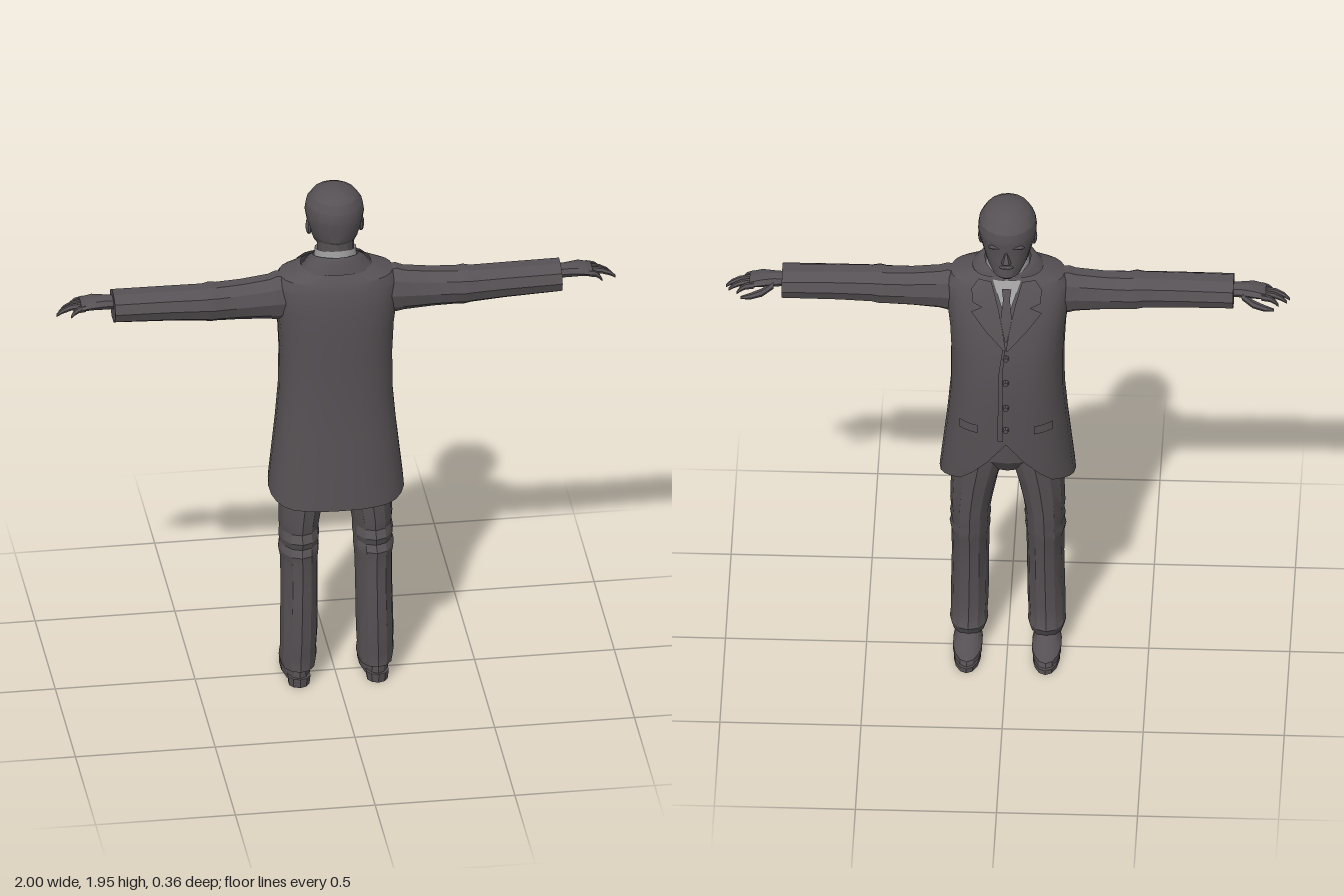
import * as THREE from 'three';
import { toCreasedNormals } from 'three/addons/utils/BufferGeometryUtils.js';

const mat = (name, color) => {
  const m = new THREE.MeshStandardMaterial({ color, side: THREE.DoubleSide });
  m.name = name;
  return m;
};
const cloth = mat('charcoal cloth', 0x565154);
const linen = mat('pale linen', 0xa3a2a2);

function mesh(name, geo, material = cloth) {
  const m = new THREE.Mesh(toCreasedNormals(geo, 0.45), material);
  m.name = name;
  return m;
}

// Surface through a grid of points, rows running bottom to top
function skin(rows, caps = false) {
  const n = rows[0].length, pos = rows.flat(2), idx = [];
  for (let i = 0; i < rows.length - 1; i++) for (let j = 0; j < n - 1; j++) {
    const a = i * n + j, b = a + n;
    idx.push(a, b, a + 1, a + 1, b, b + 1);
  }
  if (caps) for (let j = 1; j < n - 2; j++) {
    const t = (rows.length - 1) * n;
    idx.push(0, j, j + 1, t, t + j + 1, t + j);
  }
  const g = new THREE.BufferGeometry();
  g.setAttribute('position', new THREE.Float32BufferAttribute(pos, 3));
  g.setIndex(idx);
  return g;
}

// Elliptical sections [y, cx, cz, rx, rz], angle 0 pointing to -z
function loft(sections, n = 12, tilt = 0, caps = true) {
  return skin(sections.map(([y, cx, cz, rx, rz]) => Array.from({ length: n + 1 }, (_, j) => {
    const a = (j % n) / n * Math.PI * 2;
    return [cx + rx * Math.sin(a), y - tilt * Math.cos(a), cz - rz * Math.cos(a)];
  })), caps);
}

// Sections [x, y, z, ry, rz] running out along +x
function loftX(sections, n = 10) {
  return loft(sections.map(([x, y, z, ry, rz]) => [x, -y, z, ry, rz]), n).rotateZ(-Math.PI / 2);
}

// Coat body: [y, half width, front z, back z]
const coatProfile = [
  [0.74, 0.245, -0.13, 0.18], [0.85, 0.235, -0.15, 0.175], [1.0, 0.217, -0.163, 0.165],
  [1.15, 0.202, -0.17, 0.157], [1.3, 0.2, -0.17, 0.158], [1.42, 0.205, -0.155, 0.16],
  [1.52, 0.218, -0.125, 0.158], [1.6, 0.222, -0.095, 0.15], [1.635, 0.205, -0.08, 0.138],
  [1.665, 0.125, -0.065, 0.115],
];
function coatAt(y) {
  let i = 0;
  while (i < coatProfile.length - 2 && coatProfile[i + 1][0] < y) i++;
  const p = coatProfile[i], q = coatProfile[i + 1];
  const t = THREE.MathUtils.clamp((y - p[0]) / (q[0] - p[0]), 0, 1);
  return p.map((v, k) => v + (q[k] - v) * t);
}
const POW = 0.8, MID = 0.02;
function coatPoint(a, y) {
  const [, w, f, b] = coatAt(y), s = Math.sin(a), c = Math.cos(a);
  const bend = v => Math.sign(v) * Math.abs(v) ** POW;
  return [w * bend(s), y, MID - bend(c) * (c > 0 ? MID - f : b - MID)];
}
function frontZ(x, y) {
  const [, w, f] = coatAt(y), s = Math.min(1, Math.abs(x) / w) ** (1 / POW);
  return MID - (MID - f) * Math.sqrt(1 - s * s) ** POW;
}
// Cutaway hem: high at the front centre, lowest at the back
function hem(a) {
  const t = Math.acos(Math.cos(a)) / Math.PI;
  return t < 0.2 ? 1.0 - 0.18 * (t / 0.2) ** 0.7 : 0.82 - 0.08 * Math.min(1, (t - 0.2) / 0.55);
}

// Thin cloth lying on the coat front: rows of [y, inner x, outer x]
function patch(rows, lift) {
  return skin(rows.map(([y, a, b]) => Array.from({ length: 6 }, (_, j) => {
    const x = a + (b - a) * j / 5;
    return [x, y, frontZ(x, y) - lift];
  })));
}

function makeCoat() {
  const g = new THREE.Group();
  g.name = 'coat';
  const levels = [0, 0.03, ...coatProfile.slice(2).map(p => (p[0] - 0.74) / 0.925)];
  const n = 28;
  g.add(mesh('coatBody', skin(levels.map(v => Array.from({ length: n + 1 }, (_, j) => {
    const a = (j % n) / n * Math.PI * 2, h = hem(a);
    return coatPoint(a, h + (1.665 - h) * v);
  })))));
  // Standing collar, higher at the nape
  g.add(mesh('coatCollar', loft([
    [1.64, 0, 0.027, 0.14, 0.1], [1.665, 0, 0.024, 0.122, 0.095],
    [1.69, 0, 0.022, 0.1, 0.09], [1.7, 0, 0.02, 0.082, 0.085]], 16, 0.025, false)));
  // Shirt front and necktie
  g.add(mesh('shirtFront', patch([[1.53, -0.004, 0.004], [1.6, -0.028, 0.028], [1.66, -0.05, 0.05]], 0.006), linen));
  g.add(mesh('necktie', patch([[1.45, -0.004, 0.004], [1.53, -0.02, 0.02], [1.6, -0.012, 0.012],
    [1.635, -0.017, 0.017]], 0.012)));
  for (const s of [-1, 1]) {
    const m = rows => rows.map(([y, a, b]) => [y, a * s, b * s]);
    // Lapel with a notch below the collar leaf
    g.add(mesh('lapel', patch(m([[1.42, 0, 0.008], [1.49, 0.012, 0.075], [1.55, 0.024, 0.125], [1.57, 0.028, 0.09]]), 0.016)));
    g.add(mesh('collarLeaf', patch(m([[1.57, 0.028, 0.085], [1.585, 0.032, 0.12], [1.63, 0.045, 0.125], [1.66, 0.055, 0.1]]), 0.017)));
    g.add(mesh('pocketFlap', patch(m([[1.05, 0.1, 0.165], [1.085, 0.1, 0.165]]), 0.008)));
  }
  // Front closure edge and buttons
  g.add(mesh('frontEdge', patch([[1.02, 0.01, 0.03], [1.15, 0.012, 0.028], [1.3, 0.012, 0.028], [1.42, 0.004, 0.012]], 0.006)));
  for (const y of [1.07, 1.17, 1.28, 1.38]) {
    const b = mesh('button', new THREE.CylinderGeometry(0.009, 0.012, 0.014, 8).rotateX(-Math.PI / 2));
    b.position.set(0, y, frontZ(0, y) - 0.006);
    g.add(b);
  }
  return g;
}

function makeHead() {
  const g = new THREE.Group();
  g.name = 'head';
  g.add(mesh('skull', loft([
    [1.7, 0, -0.085, 0.03, 0.035], [1.715, 0, -0.07, 0.052, 0.066], [1.745, 0, -0.03, 0.074, 0.105],
    [1.78, 0, -0.016, 0.086, 0.115], [1.82, 0, -0.013, 0.098, 0.117], [1.86, 0, -0.013, 0.105, 0.123],
    [1.895, 0, -0.012, 0.1, 0.118], [1.925, 0, -0.008, 0.081, 0.097], [1.945, 0, -0.004, 0.05, 0.062],
    [1.954, 0, 0, 0.015, 0.02]], 18)));
  g.add(mesh('neck', loft([[1.6, 0, 0.02, 0.066, 0.07], [1.78, 0, 0.02, 0.066, 0.072]], 12)));
  g.add(mesh('shirtCollar', loft([[1.66, 0, 0.015, 0.08, 0.084], [1.722, 0, 0.013, 0.074, 0.081]], 16, 0.022, false), linen));
  // Nose, brow, lips and ears
  const nose = mesh('nose', new THREE.ConeGeometry(0.019, 0.05, 5));
  nose.position.set(0, 1.805, -0.132);
  nose.rotation.x = 0.2;
  g.add(nose);
  const blob = (name, x, y, z, sx, sy, sz) => {
    const b = mesh(name, new THREE.SphereGeometry(1, 10, 6));
    b.position.set(x, y, z);
    b.scale.set(sx, sy, sz);
    g.add(b);
  };
  blob('lips', 0, 1.758, -0.128, 0.026, 0.009, 0.012);
  for (const s of [-1, 1]) {
    blob('brow', s * 0.036, 1.838, -0.118, 0.03, 0.008, 0.011);
    blob('ear', s * 0.093, 1.805, 0.0, 0.012, 0.032, 0.02);
  }
  return g;
}

function makeArm() {
  const g = new THREE.Group();
  g.name = 'arm';
  g.add(mesh('sleeve', loftX([
    [0.16, 1.55, 0.03, 0.085, 0.07], [0.215, 1.552, 0.032, 0.091, 0.074], [0.24, 1.55, 0.034, 0.083, 0.07],
    [0.34, 1.548, 0.036, 0.073, 0.069], [0.43, 1.548, 0.039, 0.069, 0.072], [0.455, 1.55, 0.041, 0.071, 0.076],
    [0.48, 1.55, 0.042, 0.066, 0.071], [0.6, 1.554, 0.04, 0.062, 0.071], [0.8, 1.557, 0.036, 0.058, 0.073]], 10)));
  // Hand: palm, four bent fingers and a thumb
  g.add(mesh('palm', loftX([[0.78, 1.568, 0.03, 0.022, 0.032], [0.83, 1.57, 0.028, 0.024, 0.036],
    [0.87, 1.572, 0.026, 0.022, 0.046], [0.915, 1.565, 0.024, 0.016, 0.046]], 8)));
  [0.95, 1, 0.99, 0.96].forEach((tip, i) => {
    const z = 0.058 - i * 0.023, k = tip - 0.9;
    g.add(mesh('finger', loftX([[0.9, 1.566, z, 0.013, 0.012], [0.9 + k * 0.5, 1.56, z * 0.95, 0.012, 0.011],
      [0.9 + k * 0.8, 1.547, z * 0.9, 0.01, 0.01], [tip, 1.53, z * 0.86, 0.005, 0.006]], 6)));
  });
  g.add(mesh('thumb', loftX([[0.83, 1.562, 0.002, 0.016, 0.016], [0.87, 1.543, -0.022, 0.015, 0.015],
    [0.91, 1.532, -0.03, 0.012, 0.012], [0.945, 1.523, -0.028, 0.005, 0.006]], 6)));
  return g;
}

function makeLeg() {
  const g = new THREE.Group();
  g.name = 'leg';
  // Trouser leg with folds at the knee and ankle
  g.add(mesh('trouserLeg', loft([
    [0.065, 0.138, 0.045, 0.06, 0.078], [0.1, 0.138, 0.035, 0.068, 0.086], [0.13, 0.138, 0.042, 0.065, 0.083],
    [0.2, 0.136, 0.045, 0.067, 0.085], [0.4, 0.133, 0.037, 0.066, 0.092], [0.5, 0.133, 0.028, 0.068, 0.1],
    [0.53, 0.134, 0.026, 0.073, 0.106], [0.555, 0.132, 0.018, 0.069, 0.098], [0.58, 0.132, 0.02, 0.073, 0.104],
    [0.61, 0.131, 0.01, 0.07, 0.098], [0.64, 0.13, 0.012, 0.074, 0.101], [0.75, 0.118, 0.003, 0.083, 0.105],
    [0.86, 0.1, 0, 0.095, 0.112], [1.05, 0.09, 0, 0.09, 0.115]], 12)));
  // Shoe: sole outline, heel block and rounded upper
  const rows = [[0, 1], [0.018, 1], [0.018, 0.93]].map(([y, k]) => Array.from({ length: 17 }, (_, j) => {
    const a = (j % 16) / 8 * Math.PI, c = Math.cos(a);
    return [0.14 + Math.sin(a) * k * (0.048 + 0.009 * c), y + (c < -0.3 ? 0.012 : 0), -0.028 - c * 0.146 * k];
  }));
  g.add(mesh('sole', skin(rows, true)));
  g.add(mesh('heel', loft([[0, 0.14, 0.078, 0.038, 0.04], [0.035, 0.14, 0.078, 0.042, 0.044]], 10)));
  g.add(mesh('shoeUpper', loft([[0.015, 0.14, -0.025, 0.052, 0.138], [0.035, 0.14, -0.02, 0.053, 0.134],
    [0.052, 0.14, 0.012, 0.047, 0.1], [0.075, 0.139, 0.04, 0.042, 0.07], [0.12, 0.138, 0.05, 0.038, 0.055]], 14)));
  return g;
}

export function createModel() {
  const model = new THREE.Group();
  model.name = 'suitedFigure';
  model.add(makeCoat(), makeHead());
  model.add(mesh('trouserSeat', loft([[0.82, 0, 0.005, 0.07, 0.075], [0.88, 0, 0, 0.15, 0.11],
    [1.0, 0, 0, 0.178, 0.12], [1.2, 0, 0, 0.165, 0.12]], 16)));
  for (const [side, s] of [['left', 1], ['right', -1]]) {
    for (const [part, make] of [['Arm', makeArm], ['Leg', makeLeg]]) {
      const limb = make();
      limb.name = side + part;
      limb.scale.x = s;
      model.add(limb);
    }
  }
  return model;
}
